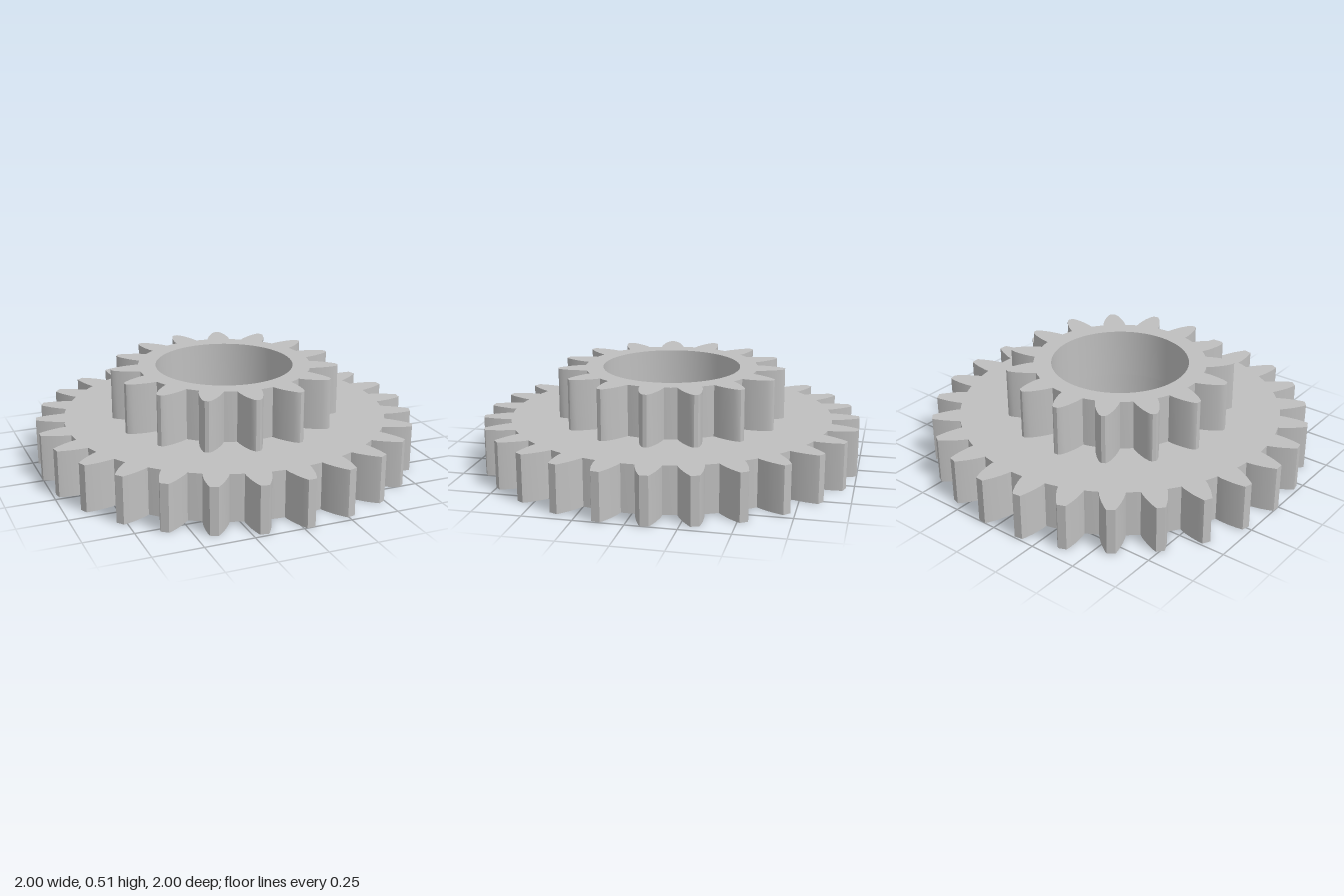
import * as THREE from 'three';
import { toCreasedNormals } from 'three/addons/utils/BufferGeometryUtils.js';

const BORE = 0.363;

// Half tooth profiles from root to tip: [distance along tooth axis, half width]
const LARGE_TOOTH = [[0.853, 0.064], [0.88, 0.061], [0.91, 0.054], [0.94, 0.046], [0.97, 0.035], [0.992, 0.026], [1.001, 0.021]];
const SMALL_TOOTH = [[0.452, 0.062], [0.485, 0.058], [0.515, 0.051], [0.545, 0.042], [0.572, 0.031], [0.592, 0.02], [0.6, 0.01]];

// Bored gear outline, extruded upward from y
function makeGear(name, material, teeth, startAngle, profile, y, height) {
  const flanks = [
    ...profile.map(([r, w]) => [r, -w]),
    ...profile.slice().reverse(),
  ];
  const points = [];
  for (let i = 0; i < teeth; i++) {
    const a = startAngle + (i * Math.PI * 2) / teeth;
    const c = Math.cos(a), s = Math.sin(a);
    for (const [r, w] of flanks) points.push(new THREE.Vector2(r * c - w * s, r * s + w * c));
    // Middle of the root floor
    const gap = a + Math.PI / teeth;
    const root = Math.hypot(...profile[0]);
    points.push(new THREE.Vector2(root * Math.cos(gap), root * Math.sin(gap)));
  }
  const shape = new THREE.Shape(points);
  shape.holes.push(new THREE.Path().absarc(0, 0, BORE, 0, Math.PI * 2, true));

  const extruded = new THREE.ExtrudeGeometry(shape, { depth: height, bevelEnabled: false, curveSegments: 48 });
  extruded.rotateX(-Math.PI / 2);
  const mesh = new THREE.Mesh(toCreasedNormals(extruded, 0.45), material);
  mesh.name = name;
  mesh.position.y = y;
  return mesh;
}

export function createModel() {
  const steel = new THREE.MeshStandardMaterial({ color: 0xbfbfbf });
  steel.name = 'plain grey';

  const group = new THREE.Group();
  group.name = 'doubleGear';
  group.add(
    makeGear('largeGear', steel, 27, THREE.MathUtils.degToRad(5.4), LARGE_TOOTH, 0, 0.246),
    makeGear('smallGear', steel, 15, 0, SMALL_TOOTH, 0.246, 0.266),
  );
  return group;
}
